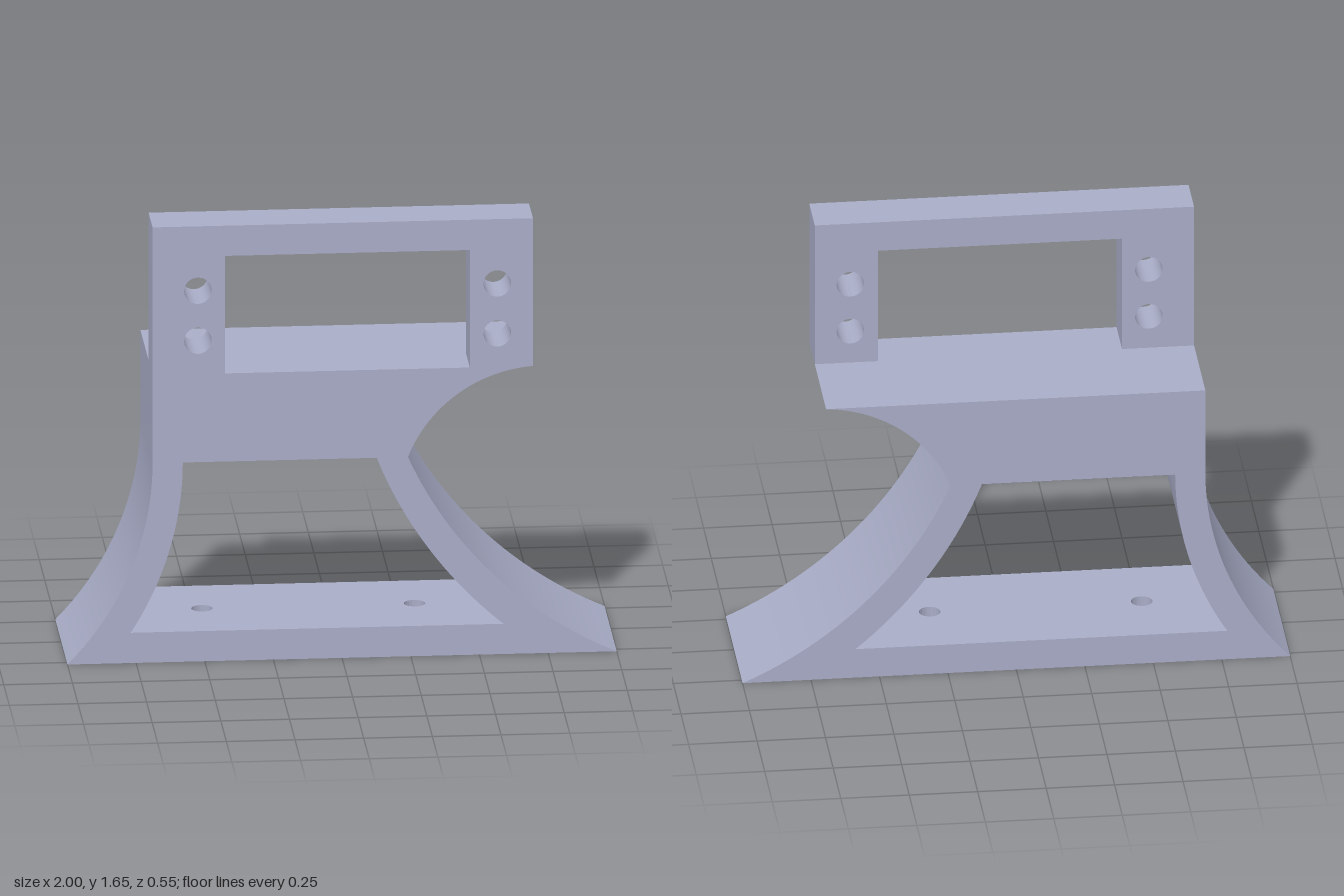
import * as THREE from 'three';
import { toCreasedNormals } from 'three/addons/utils/BufferGeometryUtils.js';

const BACK = -0.275, FRONT = 0.275; // depth range of the body
const BASE_TOP = 0.115, NECK = 0.758, DECK = 1.093, TOP = 1.655;

// Points of an arc between two points around a centre, the short way round
function arc([x0, y0], [x1, y1], [cx, cy], steps = 28) {
  const a0 = Math.atan2(y0 - cy, x0 - cx);
  let sweep = Math.atan2(y1 - cy, x1 - cx) - a0;
  sweep = Math.atan2(Math.sin(sweep), Math.cos(sweep));
  const r0 = Math.hypot(x0 - cx, y0 - cy), r1 = Math.hypot(x1 - cx, y1 - cy);
  return Array.from({ length: steps + 1 }, (_, i) => {
    const t = i / steps, a = a0 + sweep * t, r = r0 + (r1 - r0) * t;
    return [cx + r * Math.cos(a), cy + r * Math.sin(a)];
  });
}

function outline(points, holes = []) {
  const shape = new THREE.Shape(points.map(([x, y]) => new THREE.Vector2(x, y)));
  for (const [x, y, r] of holes) shape.holes.push(new THREE.Path().absarc(x, y, r, 0, Math.PI * 2, true));
  return shape;
}

const extrude = (shape, depth) =>
  new THREE.ExtrudeGeometry(shape, { depth, bevelEnabled: false, curveSegments: 32 });

export function createModel() {
  const group = new THREE.Group();
  const material = new THREE.MeshStandardMaterial({ color: 0xa8acc6 });
  material.name = 'blue grey';

  const add = (name, geometry) => {
    const mesh = new THREE.Mesh(toCreasedNormals(geometry, 0.4), material);
    mesh.name = name;
    group.add(mesh);
  };

  // Deck and both curved legs, open between the legs for the base plate
  const leftCentre = [-1.777, 0.76], rightCentre = [1.59, 1.347], scoopCentre = [0.735, 0.575];
  const innerLeft = -0.77, innerRight = 0.588;
  const body = extrude(outline([
    [innerLeft, 0],
    ...arc([innerLeft, BASE_TOP], [-0.58, NECK], leftCentre),
    ...arc([0.126, NECK], [innerRight, BASE_TOP], rightCentre),
    [innerRight, 0],
    ...arc([1, 0], [0.24, NECK], rightCentre),
    ...arc([0.24, NECK], [0.695, DECK], scoopCentre).slice(1),
    [-0.69, DECK],
    ...arc([-0.69, NECK], [-1, 0], leftCentre),
  ]), FRONT - BACK);
  body.translate(0, 0, BACK);
  add('deckAndLegs', body);

  // Base plate between the feet with two vertical screw holes
  const base = extrude(outline(
    [[innerLeft, BACK], [innerRight, BACK], [innerRight, FRONT], [innerLeft, FRONT]],
    [[-0.488, 0, 0.039], [0.286, 0, 0.039]],
  ), BASE_TOP);
  base.rotateX(-Math.PI / 2);
  add('basePlate', base);

  // Upright mounting frame, a window with four screw holes beside it
  const holes = [];
  for (const x of [-0.525, 0.565]) for (const y of [1.22, 1.41]) holes.push([x, y, 0.05]);
  const frame = extrude(outline([
    [-0.69, DECK], [-0.427, DECK], [-0.427, 1.54], [0.465, 1.54],
    [0.465, DECK], [0.695, DECK], [0.695, TOP], [-0.69, TOP],
  ], holes), FRONT - 0.095);
  frame.translate(0, 0, 0.095);
  add('mountingFrame', frame);

  return group;
}
